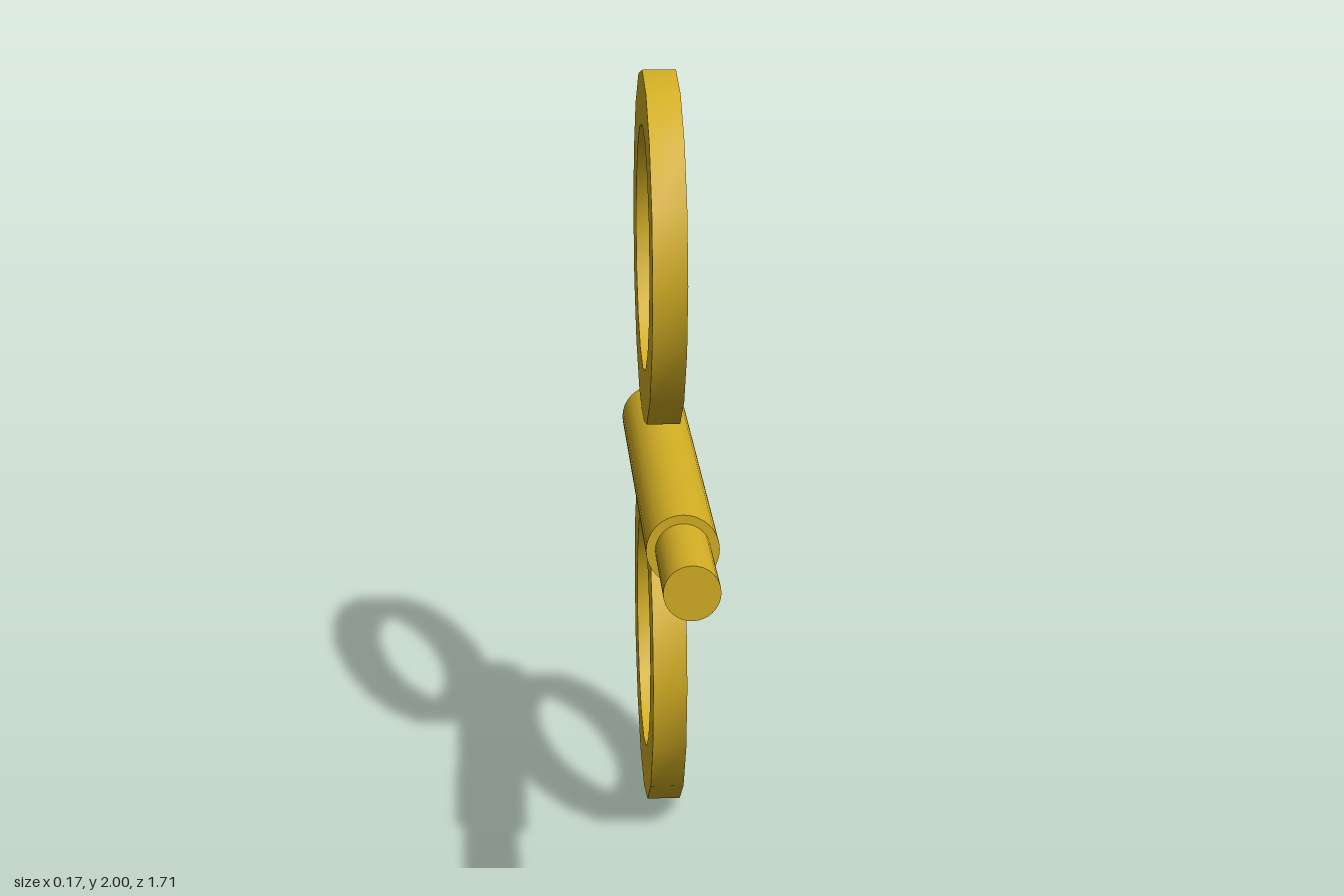
import * as THREE from 'three';
import { toCreasedNormals } from 'three/addons/utils/BufferGeometryUtils.js';

const CREASE = 0.6;

// Flat sixteen-sided ring standing in the YZ plane
function ringGeometry(outer, inner, thickness) {
  const shape = new THREE.Shape().absarc(0, 0, outer, 0, Math.PI * 2, false);
  shape.holes.push(new THREE.Path().absarc(0, 0, inner, 0, Math.PI * 2, true));
  const geo = new THREE.ExtrudeGeometry(shape, { depth: thickness, bevelEnabled: false, curveSegments: 8 });
  geo.translate(0, 0, -thickness / 2);
  geo.rotateY(Math.PI / 2);
  return toCreasedNormals(geo, CREASE);
}

// Round bar along z from back to front
function barGeometry(radius, back, front) {
  const geo = new THREE.CylinderGeometry(radius, radius, front - back, 32);
  geo.rotateX(Math.PI / 2);
  geo.translate(0, 0, (back + front) / 2);
  return geo;
}

export function createModel() {
  const model = new THREE.Group();
  const gold = new THREE.MeshStandardMaterial({ color: 0xd4af24 });
  gold.name = 'gold';

  const add = (name, geometry, y) => {
    const mesh = new THREE.Mesh(geometry, gold);
    mesh.name = name;
    mesh.position.y = y;
    model.add(mesh);
  };

  // Stepped shaft
  add('shaft', barGeometry(0.0875, -0.64, 0.547), 1);
  add('shaftTip', barGeometry(0.066, 0.5, 0.857), 1);

  // Finger rings above and below the shaft
  const ring = ringGeometry(0.469, 0.327, 0.088);
  ring.translate(0, 0, -0.387);
  add('upperRing', ring, 1.531);
  add('lowerRing', ring, 0.469);

  return model;
}
